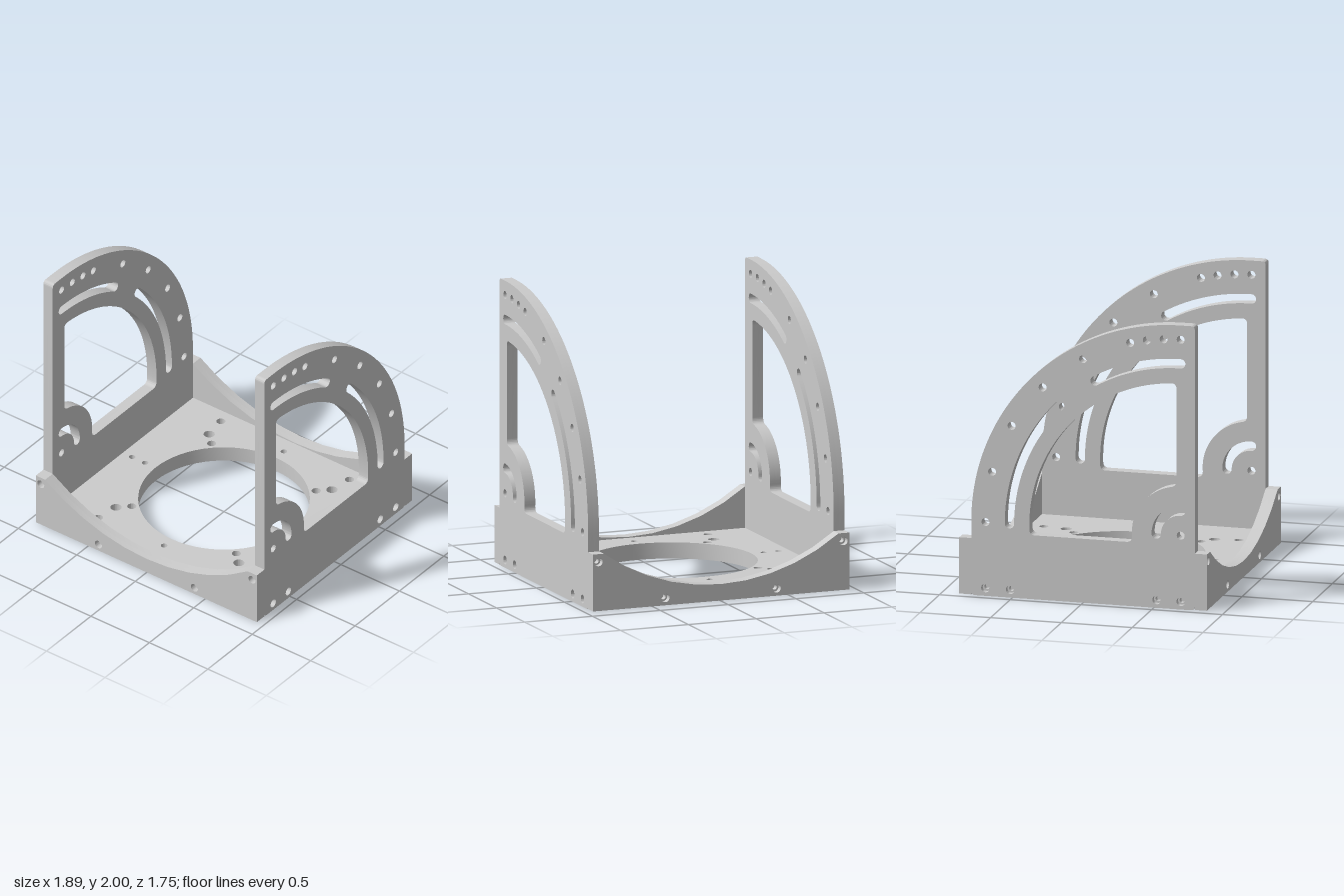
import * as THREE from 'three';
import { toCreasedNormals } from 'three/addons/utils/BufferGeometryUtils.js';

const material = new THREE.MeshStandardMaterial({ color: 0xcccccc });
const T = 0.08; // side plate thickness
const W = 0.945; // half width
const D = 0.79; // half depth between the end panels
const D2 = 0.875; // half depth overall
const PIVOT = { y: 0.52, z: 0.69 }; // centre of the quarter arcs

function extrude(shape, depth, segments = 12) {
  const g = new THREE.ExtrudeGeometry(shape, { depth, bevelEnabled: false, curveSegments: segments });
  return toCreasedNormals(g, 0.5);
}

function mesh(geometry, name) {
  const m = new THREE.Mesh(geometry, material);
  m.name = name;
  return m;
}

function circle(x, y, r) {
  return new THREE.Path().absarc(x, y, r, 0, Math.PI * 2, false);
}

// Curved slot with round ends, centred on the pivot
function arcSlot(r, w, a0, a1) {
  const p = new THREE.Path();
  p.absarc(0, 0, r + w, a0, a1, false);
  p.absarc(r * Math.cos(a1), r * Math.sin(a1), w, a1, a1 + Math.PI, false);
  p.absarc(0, 0, r - w, a1, a0, true);
  p.absarc(r * Math.cos(a0), r * Math.sin(a0), w, a0 + Math.PI, a0 + Math.PI * 2, false);
  p.closePath();
  return p;
}

// Window between the outer band and the pivot boss
function windowPath() {
  const p = new THREE.Path();
  p.moveTo(0.03, 1.03);
  p.quadraticCurveTo(0.03, 1.07, 0.07, 1.068);
  p.absarc(0, 0, 1.07, Math.PI / 2 - 0.0655, -0.03, true);
  p.quadraticCurveTo(1.068, -0.07, 1.03, -0.07);
  p.lineTo(0.385, -0.07);
  p.quadraticCurveTo(0.345, -0.07, 0.344, -0.03);
  p.absarc(0, 0, 0.345, -0.08, Math.PI / 2 - 0.2, false);
  p.quadraticCurveTo(0.03, 0.345, 0.03, 0.385);
  p.closePath();
  return p;
}

// Quarter-round side plate, drawn around the pivot: x runs to the back, y up
function sideShape(screwRadius) {
  const s = new THREE.Shape();
  s.moveTo(-0.1, -0.49);
  s.quadraticCurveTo(-0.1, -0.52, -0.07, -0.52);
  s.lineTo(1.45, -0.52);
  s.quadraticCurveTo(1.48, -0.52, 1.48, -0.49);
  s.lineTo(1.48, 0);
  s.absarc(0, 0, 1.48, 0, Math.PI / 2, false);
  s.lineTo(-0.07, 1.48);
  s.quadraticCurveTo(-0.1, 1.48, -0.1, 1.45);
  s.closePath();

  const rad = THREE.MathUtils.degToRad;
  s.holes.push(windowPath());
  s.holes.push(arcSlot(1.21, 0.033, rad(60), rad(90)));
  s.holes.push(arcSlot(1.21, 0.033, 0, rad(45)));
  s.holes.push(arcSlot(0.173, 0.033, 0, rad(90)));
  s.holes.push(circle(0, 0, 0.028));
  for (const deg of [0, 15, 30, 45, 60, 75, 80, 85, 90]) {
    s.holes.push(circle(1.38 * Math.cos(rad(deg)), 1.38 * Math.sin(rad(deg)), 0.028));
  }
  for (const z of [0.69, 0.52, -0.515, -0.69]) {
    s.holes.push(circle(PIVOT.z - z, 0.055 - PIVOT.y, screwRadius));
  }
  return s;
}

// End panel with a sagging, faceted top edge
function endShape(screwRadius) {
  const s = new THREE.Shape();
  s.moveTo(-W, 0.004);
  s.lineTo(W, 0.004);
  s.lineTo(W, 0.4);
  const r = 1.467, cy = 1.585, half = Math.asin(0.865 / r), n = 10;
  for (let i = 0; i <= n; i++) {
    const a = half - (2 * half * i) / n;
    s.lineTo(r * Math.sin(a), cy - r * Math.cos(a));
  }
  s.lineTo(-W, 0.4);
  s.closePath();
  for (const x of [-1, 1]) {
    s.holes.push(circle(x * 0.41, 0.055, screwRadius));
    s.holes.push(circle(x * 0.903, 0.345, screwRadius));
  }
  return s;
}

// Base plate with the large opening and mounting holes
function baseShape() {
  const x = W - T;
  const s = new THREE.Shape();
  s.moveTo(-x, -D);
  s.lineTo(x, -D);
  s.lineTo(x, D);
  s.lineTo(-x, D);
  s.closePath();
  s.holes.push(circle(0, 0, 0.585));
  for (const i of [-1, 1]) {
    for (const j of [-1, 1]) {
      s.holes.push(circle(i * 0.55, j * 0.69, 0.031));
      s.holes.push(circle(i * 0.525, j * 0.525, 0.038));
      s.holes.push(circle(i * 0.447, j * 0.45, 0.031));
    }
    s.holes.push(circle(0, i * 0.675, 0.022));
    s.holes.push(circle(i * 0.675, 0, 0.022));
    s.holes.push(circle(i * 0.785, 0, 0.022));
  }
  return s;
}

export function createModel() {
  const model = new THREE.Group();
  model.name = 'cradleBracket';

  const base = mesh(extrude(baseShape(), 0.112, 32), 'basePlate');
  base.rotation.x = -Math.PI / 2;
  model.add(base);

  // Each plate is two layers: a wide screw recess outside, a narrow bore inside
  const BORE = 0.018, RECESS = 0.03;
  const half = T / 2;
  const sideBore = extrude(sideShape(BORE), half, 24).rotateY(Math.PI / 2);
  const sideRecess = extrude(sideShape(RECESS), half, 24).rotateY(Math.PI / 2);
  const endHalf = (D2 - D) / 2;
  const endBore = extrude(endShape(BORE), endHalf);
  const endRecess = extrude(endShape(RECESS), endHalf);

  for (const s of [1, -1]) {
    const side = new THREE.Group();
    side.name = s > 0 ? 'leftSidePlate' : 'rightSidePlate';
    const inner = mesh(sideBore, 'sidePlateInner');
    const outer = mesh(sideRecess, 'sidePlateOuter');
    inner.position.x = s > 0 ? W - T : -W + half;
    outer.position.x = s > 0 ? W - half : -W;
    side.add(inner, outer);
    side.position.set(0, PIVOT.y, PIVOT.z);
    model.add(side);

    const end = new THREE.Group();
    end.name = s > 0 ? 'frontPanel' : 'backPanel';
    const endInner = mesh(endBore, 'panelInner');
    const endOuter = mesh(endRecess, 'panelOuter');
    endInner.position.z = D;
    endOuter.position.z = D + endHalf;
    end.add(endInner, endOuter);
    end.rotation.y = s > 0 ? 0 : Math.PI;
    model.add(end);
  }
  return model;
}
